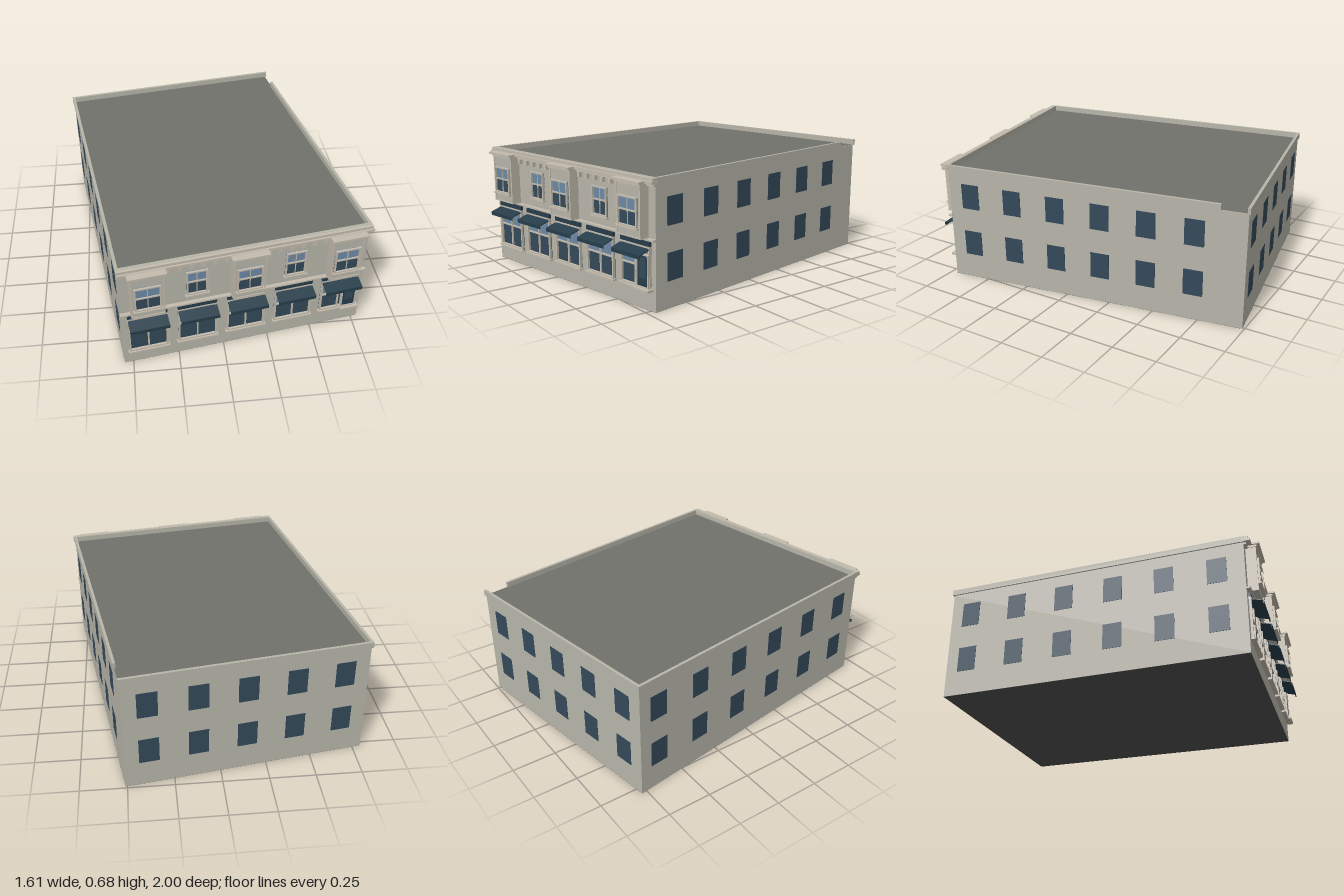
import * as THREE from 'three';

const material = (color) => new THREE.MeshStandardMaterial({ color, flatShading: true, side: THREE.DoubleSide });

export function createModel() {
  const model = new THREE.Group();
  model.name = 'cornerBuilding';
  const wall = material(0xb8b6aa), trim = material(0xc4bcae), roofGrey = material(0x70726b);
  const glass = material(0x34495a), paleGlass = material(0x6d8aa6), awningBlue = material(0x263d4a);
  const floorDark = material(0x505050);

  const add = (parent, name, geometry, mat) => {
    const mesh = new THREE.Mesh(geometry, mat);
    mesh.name = name;
    parent.add(mesh);
    return mesh;
  };
  // Box given by its limits along the wall, in height and outwards
  const block = (parent, name, mat, u0, u1, y0, y1, d0, d1) => {
    const mesh = add(parent, name, new THREE.BoxGeometry(u1 - u0, y1 - y0, d1 - d0), mat);
    mesh.position.set((u0 + u1) / 2, (y0 + y1) / 2, (d0 + d1) / 2);
    return mesh;
  };
  const rect = (path, u0, u1, y0, y1) =>
    path.moveTo(u0, y0).lineTo(u1, y0).lineTo(u1, y1).lineTo(u0, y1).closePath();
  // Rectangular window surround with an open middle
  const frame = (parent, name, u0, u1, y0, y1, t, d0, d1) => {
    const shape = new THREE.Shape(), hole = new THREE.Path();
    rect(shape, u0, u1, y0, y1);
    rect(hole, u0 + t, u1 - t, y0 + t, y1 - t);
    shape.holes.push(hole);
    const geometry = new THREE.ExtrudeGeometry(shape, { depth: d1 - d0, bevelEnabled: false });
    add(parent, name, geometry.translate(0, 0, d0), trim);
  };

  // Footprint corners (x, z): front left, front right, back right, back left
  const corners = [[-0.548, 0.925], [0.785, 0.71], [0.51, -0.99], [-0.795, -0.78]];
  const plan = new THREE.Shape(corners.map(([x, z]) => new THREE.Vector2(x, -z)));
  const body = new THREE.ExtrudeGeometry(plan, { depth: 0.645, bevelEnabled: false });
  add(model, 'walls', body.rotateX(-Math.PI / 2), wall);
  const flat = () => new THREE.ShapeGeometry(plan).rotateX(-Math.PI / 2);
  add(model, 'roof', flat().translate(0, 0.647, 0), roofGrey);
  add(model, 'underside', flat().translate(0, -0.001, 0), floorDark);

  // One group per wall: x runs along the wall, z points outwards
  const sides = ['front', 'rightSide', 'back', 'leftSide'].map((name, i) => {
    const [x0, z0] = corners[i], [x1, z1] = corners[(i + 1) % 4];
    const group = new THREE.Group();
    group.name = name;
    group.position.set(x0, 0, z0);
    group.rotation.y = Math.atan2(z0 - z1, x1 - x0);
    model.add(group);
    return { group, length: Math.hypot(x1 - x0, z1 - z0) };
  });
  const [front, right, back, left] = sides;

  // Parapet bands
  for (const side of sides) {
    const end = side === right ? 1.58 : side.length + 0.008;
    block(side.group, 'parapet', wall, -0.008, end, 0.645, 0.678, -0.008, 0.008);
  }

  // Plain window rows on the side and back walls
  const windowRows = (side, count, start, step) => {
    for (let i = 0; i < count; i++) for (const y of [0.142, 0.427]) {
      const u = start + i * step;
      block(side.group, 'plainWindow', glass, u - 0.054, u + 0.054, y, y + 0.147, -0.01, 0.002);
    }
  };
  windowRows(right, 6, 0.132, 0.263);
  windowRows(back, 5, back.length / 10, back.length / 5);
  windowRows(left, 6, 0.123, 0.29);

  // Front: continuous mouldings
  const f = front.group, L = front.length;
  block(f, 'cornice', trim, -0.008, L + 0.012, 0.648, 0.662, 0, 0.036);
  block(f, 'corniceCap', trim, -0.008, L + 0.008, 0.662, 0.677, -0.008, 0.026);
  block(f, 'architrave', trim, 0, L, 0.633, 0.642, 0, 0.014);
  block(f, 'stringCourse', trim, -0.004, L + 0.004, 0.363, 0.373, 0, 0.022);

  // Sash window with pale upper panes and dark lower panes
  const sash = (group, u, w, y0, y1, d) => {
    const a = u - w / 2, b = u + w / 2, mid = y0 + (y1 - y0) * 0.54;
    block(group, 'lowerPane', glass, a, b, y0, mid, d - 0.005, d + 0.003);
    block(group, 'upperPane', paleGlass, a, b, mid, y1, d - 0.005, d + 0.003);
    frame(group, 'sashFrame', a, b, y0, y1, 0.008, d, d + 0.014);
    block(group, 'meetingRail', trim, a, b, mid - 0.004, mid + 0.004, d, d + 0.01);
    block(group, 'mullion', trim, u - 0.002, u + 0.002, y0, y1, d, d + 0.008);
    block(group, 'sill', trim, a - 0.008, b + 0.008, y0 - 0.008, y0, d - 0.004, d + 0.02);
  };

  // Sloping awning with a hanging valance
  const awning = (group, u, w) => {
    const profile = new THREE.Shape([[0, 0.326], [0.078, 0.302], [0.078, 0.282], [0.074, 0.282],
      [0.074, 0.298], [0, 0.32]].map(([z, y]) => new THREE.Vector2(-z, y)));
    const geometry = new THREE.ExtrudeGeometry(profile, { depth: w, bevelEnabled: false });
    add(group, 'awning', geometry.rotateY(Math.PI / 2).translate(u - w / 2, 0, 0), awningBlue);
  };

  for (let i = 0; i < 5; i++) {
    const u = L / 2 + (i - 2) * 0.269;

    // Upper floor: projecting bays alternate with flat windows
    if (i % 2 === 0) {
      const bay = new THREE.Group();
      bay.name = 'bay';
      f.add(bay);
      block(bay, 'bayWall', wall, u - 0.086, u + 0.086, 0.373, 0.648, 0, 0.052);
      block(bay, 'bayCornice', trim, u - 0.1, u + 0.1, 0.648, 0.66, 0, 0.076);
      block(bay, 'bayMoulding', trim, u - 0.092, u + 0.092, 0.636, 0.648, 0, 0.062);
      block(bay, 'bayBase', trim, u - 0.089, u + 0.089, 0.373, 0.38, 0, 0.056);
      for (const s of [-1, 1])
        block(bay, 'bayCornerStrip', trim, u + s * 0.084 - 0.004, u + s * 0.084 + 0.004, 0.38, 0.636, 0, 0.056);
      sash(bay, u, 0.14, 0.427, 0.578, 0.052);
    } else {
      sash(f, u, 0.114, 0.423, 0.578, 0);
      // Small brackets under the cornice
      for (let k = 0; k < 6; k++) {
        const b = u + (k - 2.5) * 0.062;
        block(f, 'bracket', trim, b - 0.009, b + 0.009, 0.606, 0.633, 0, 0.02);
      }
    }

    // Ground floor: shop windows
    const shop = new THREE.Group();
    shop.name = 'shopWindow';
    f.add(shop);
    const y0 = 0.093 + i * 0.005, a = u - 0.106, b = u + 0.106;
    block(shop, 'shopGlass', glass, a, b, y0, 0.225, -0.005, 0.003);
    block(shop, 'transomGlass', paleGlass, a, b, 0.225, 0.32, -0.005, 0.003);
    block(shop, 'signBand', awningBlue, a, b, 0.332, 0.356, 0, 0.014);
    frame(shop, 'shopFrame', a, b, y0, 0.332, 0.009, 0, 0.016);
    block(shop, 'transomRail', trim, a, b, 0.219, 0.227, 0, 0.012);
    block(shop, 'shopMullion', trim, u - 0.004, u + 0.004, y0, 0.325, 0, 0.012);
    block(shop, 'shopSill', trim, a - 0.008, b + 0.008, y0 - 0.009, y0, 0, 0.024);
    awning(shop, u, 0.21);

    // Doorway in the last shop window
    if (i === 4) {
      block(shop, 'door', awningBlue, u + 0.022, u + 0.098, y0 + 0.006, 0.285, 0, 0.018);
      frame(shop, 'doorFrame', u + 0.018, u + 0.104, y0 + 0.004, 0.29, 0.006, 0, 0.024);
      block(shop, 'doorGlass', glass, u + 0.038, u + 0.084, 0.165, 0.27, 0.018, 0.021);
      block(shop, 'threshold', trim, u + 0.012, u + 0.118, y0 - 0.009, y0 + 0.004, 0, 0.04);
    }
  }
  return model;
}
